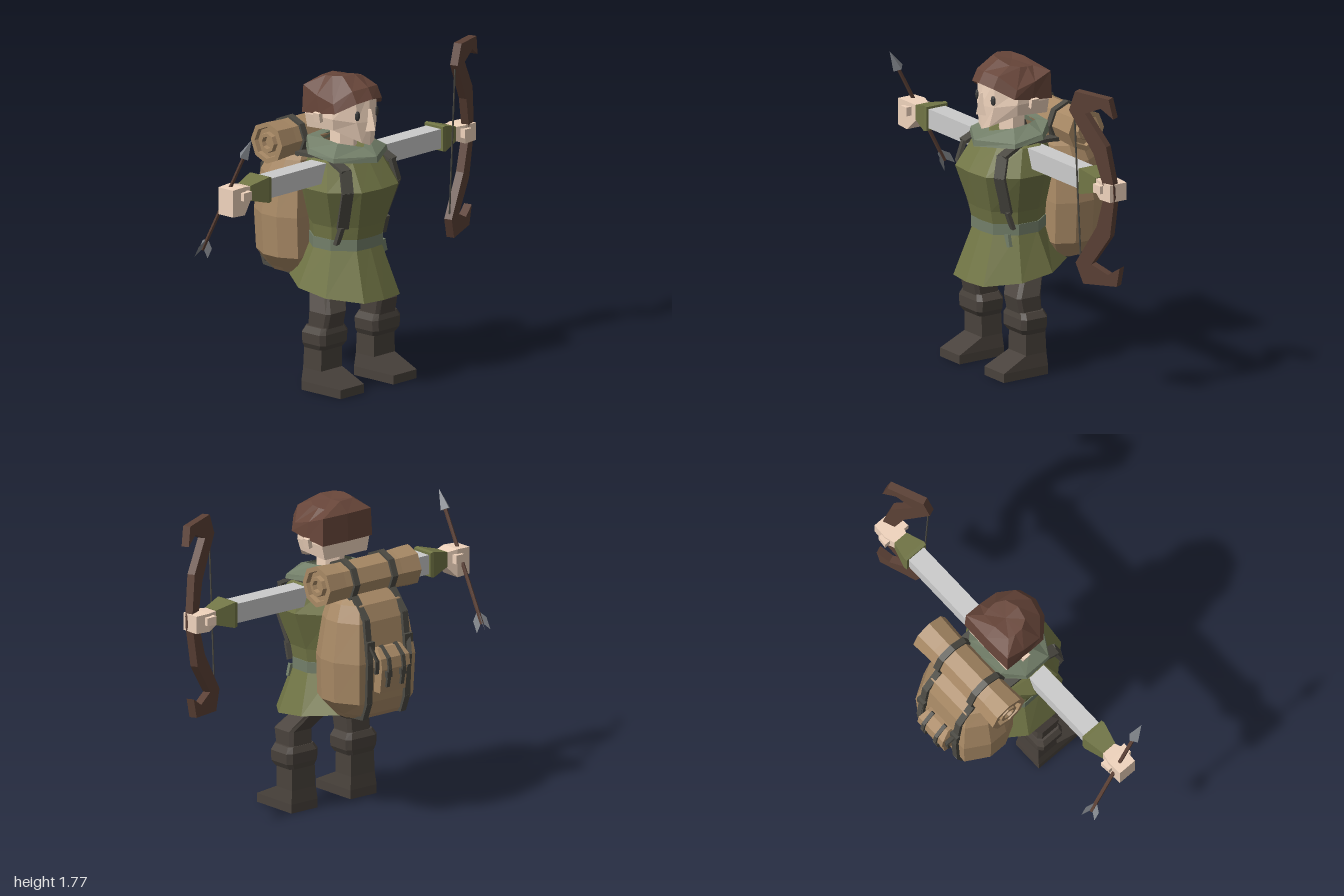
import * as THREE from 'three';

const mat = (color, side = THREE.FrontSide) =>
  new THREE.MeshStandardMaterial({ color, flatShading: true, side });
const GREY = mat(0xcccccc), GREEN = mat(0x727646), TRIM = mat(0x737f69, THREE.DoubleSide), SKIN = mat(0xf0d4bd),
  HAIR = mat(0x68463a), LEATHER = mat(0x49423c), PACK = mat(0xa88965), STRAP = mat(0x4c4a43),
  WOOD = mat(0x5c4136), METAL = mat(0x80848a, THREE.DoubleSide), EYE = mat(0x3c3c3c);

// Full loop from its +x half, listed front to back
const mirror = (half) => [...half, ...half.filter((p) => p[0] > 0).reverse().map(([x, ...r]) => [-x, ...r])];
const BOX = mirror([[0.75, 1], [1, 0.75], [1, -0.75], [0.75, -1]]);
const SQUARE = mirror([[1, 1], [1, -1]]);
const BODY = mirror([[0, 1], [0.52, 0.94], [0.98, 0.35], [1, -0.35], [0.55, -1]]);
const BAG = mirror([[0.8, 1], [1, 0.4], [1, -0.25], [0.72, -1]]);

// Horizontal ring: profile scaled to centre and half sizes, tilted along z
const ring = (profile, y, cx, hx, z0, z1, tilt = 0) =>
  profile.map(([x, z]) => [cx + x * hx, y + z * tilt, (z0 + z1) / 2 + (z * (z1 - z0)) / 2]);

// Skin between rings, bottom to top
function loft(rings, caps = true) {
  const pos = [], n = rings[0].length;
  for (let k = 0; k + 1 < rings.length; k++) {
    for (let i = 0; i < n; i++) {
      const j = (i + 1) % n, a = rings[k], b = rings[k + 1];
      pos.push(...a[i], ...a[j], ...b[j], ...a[i], ...b[j], ...b[i]);
    }
  }
  if (caps) {
    for (const [r, flip] of [[rings[0], true], [rings.at(-1), false]]) {
      const c = [0, 1, 2].map((k) => r.reduce((s, p) => s + p[k], 0) / n);
      for (let i = 0; i < n; i++) {
        const a = r[i], b = r[(i + 1) % n];
        pos.push(...c, ...(flip ? b : a), ...(flip ? a : b));
      }
    }
  }
  const g = new THREE.BufferGeometry();
  g.setAttribute('position', new THREE.Float32BufferAttribute(pos, 3));
  g.computeVertexNormals();
  return g;
}

function add(parent, name, geometry, material, x = 0, y = 0, z = 0) {
  const m = new THREE.Mesh(geometry, material);
  m.name = name;
  m.position.set(x, y, z);
  parent.add(m);
  return m;
}
const box = (parent, name, material, w, h, d, x, y, z) =>
  add(parent, name, new THREE.BoxGeometry(w, h, d), material, x, y, z);

// Flat strap following [x, y, z] points
function strap(parent, name, points, width, thick = 0.02) {
  for (let i = 0; i + 1 < points.length; i++) {
    const a = new THREE.Vector3(...points[i]), b = new THREE.Vector3(...points[i + 1]);
    const m = new THREE.Mesh(new THREE.BoxGeometry(width, thick, a.distanceTo(b) + thick * 0.5), STRAP);
    m.name = name;
    m.position.copy(a).lerp(b, 0.5);
    m.lookAt(b);
    parent.add(m);
  }
}

function buildHead(g) {
  add(g, 'neck', new THREE.CylinderGeometry(0.075, 0.08, 0.22, 6), SKIN, 0, 1.36, 0.13);
  add(g, 'head', loft([
    mirror([[0, 1.365, 0.33], [0.05, 1.385, 0.315], [0.155, 1.455, 0.2], [0.15, 1.44, 0], [0, 1.44, 0]]),
    mirror([[0, 1.5, 0.335], [0.08, 1.5, 0.305], [0.17, 1.52, 0.21], [0.168, 1.52, 0], [0, 1.52, 0]]),
    mirror([[0, 1.66, 0.32], [0.08, 1.65, 0.3], [0.165, 1.6, 0.2], [0.16, 1.62, 0.01], [0, 1.62, 0.01]]),
  ]), SKIN);
  add(g, 'nose', loft([
    mirror([[0, 1.455, 0.37], [0.035, 1.445, 0.315], [0, 1.445, 0.3]]),
    mirror([[0, 1.57, 0.34], [0.012, 1.57, 0.32], [0, 1.57, 0.3]]),
  ]), SKIN);
  const hair = loft([
    mirror([[0, 1.63, 0.35], [0.1, 1.615, 0.325], [0.185, 1.56, 0.24], [0.182, 1.54, 0.12], [0.175, 1.525, -0.015], [0, 1.525, -0.02]]),
    mirror([[0, 1.69, 0.315], [0.1, 1.68, 0.29], [0.178, 1.61, 0.22], [0.18, 1.64, 0.1], [0.17, 1.68, -0.01], [0, 1.68, -0.015]]),
    mirror([[0, 1.745, 0.22], [0.08, 1.735, 0.2], [0.11, 1.73, 0.15], [0.11, 1.725, 0.1], [0.1, 1.72, 0.06], [0, 1.735, 0.05]]),
  ]);
  // Crown leans to one side
  const p = hair.attributes.position;
  for (let i = 0; i < p.count; i++) if (p.getY(i) > 1.7) p.setY(i, p.getY(i) - 0.15 * p.getX(i));
  add(g, 'hair', hair, HAIR);
  for (const s of [-1, 1]) {
    const eye = add(g, 'eye', new THREE.SphereGeometry(1, 8, 6), EYE, s * 0.077, 1.54, 0.308);
    eye.scale.set(0.016, 0.028, 0.01);
    eye.rotation.y = s * 0.4;
    box(g, 'ear', SKIN, 0.03, 0.055, 0.045, s * 0.178, 1.52, 0.11).rotation.z = -s * 0.2;
  }
}

function buildBody(g) {
  add(g, 'tunic', loft([
    ring(BODY, 0.8, 0, 0.19, -0.02, 0.33), ring(BODY, 0.92, 0, 0.205, -0.03, 0.355),
    ring(BODY, 1.135, 0, 0.28, -0.055, 0.42), ring(BODY, 1.285, 0, 0.225, -0.01, 0.32),
    ring(BODY, 1.33, 0, 0.12, 0.04, 0.24),
  ]), GREEN);
  const skirt = loft([ring(BODY, 0.548, 0, 0.275, -0.135, 0.437, -0.038), ring(BODY, 0.8, 0, 0.19, -0.02, 0.33)], false);
  add(g, 'skirt', skirt, GREEN);
  add(g, 'skirtLining', skirt, mat(0xcccccc, THREE.BackSide));
  add(g, 'belt', loft([ring(BODY, 0.785, 0, 0.2, -0.03, 0.34), ring(BODY, 0.848, 0, 0.2, -0.03, 0.34)]), TRIM);
  box(g, 'beltTail', TRIM, 0.05, 0.07, 0.02, 0.16, 0.755, 0.27).rotation.z = 0.25;
  add(g, 'cowl', loft([
    mirror([[0, 1.275, 0.385], [0.215, 1.29, 0.26], [0.23, 1.315, 0.08], [0.13, 1.33, -0.03], [0, 1.33, -0.04]]),
    mirror([[0, 1.31, 0.38], [0.21, 1.315, 0.255], [0.22, 1.345, 0.08], [0.13, 1.385, -0.02], [0, 1.39, -0.03]]),
    mirror([[0, 1.345, 0.28], [0.12, 1.375, 0.2], [0.12, 1.385, 0.1], [0.08, 1.385, 0.03], [0, 1.385, 0.02]]),
  ], false), TRIM);
  for (const s of [-1, 1]) {
    strap(g, 'shoulderStrap', [[s * 0.165, 1.29, -0.04], [s * 0.175, 1.305, 0.2], [s * 0.185, 1.25, 0.32],
      [s * 0.2, 1.135, 0.35], [s * 0.165, 0.92, 0.28], [s * 0.17, 0.83, 0.25]], 0.065);
    // Legs, bowed outward from the hips
    add(g, 'leg', loft([[0.24, 0.21, 0.08, 0.11, 0.24], [0.45, 0.205, 0.08, 0.125, 0.285],
      [0.58, 0.11, 0.09, 0.045, 0.185], [0.74, 0.08, 0.085, 0.04, 0.2]]
      .map(([y, x, h, a, b]) => ring(BOX, y, s * x, h, a, b))), LEATHER);
    add(g, 'boot', loft([[0, 0.093, 0.1, 0.395], [0.05, 0.093, 0.1, 0.395], [0.125, 0.084, 0.105, 0.24], [0.26, 0.08, 0.11, 0.24]]
      .map(([y, h, a, b]) => ring(SQUARE, y, s * 0.21, h, a, b))), LEATHER);
    add(g, 'bootCuff', loft([[0.245, 0.092, 0.105, 0.255], [0.275, 0.108, 0.1, 0.275], [0.335, 0.112, 0.1, 0.275], [0.37, 0.09, 0.115, 0.265]]
      .map(([y, h, a, b]) => ring(BOX, y, s * 0.21, h, a, b))), LEATHER);
  }
}

// Straight arm along x, lofted upward and then laid sideways
function buildArm(root, s, elbow, wrist, tip, z, drop, hx) {
  const arm = new THREE.Group();
  arm.name = s > 0 ? 'leftArm' : 'rightArm';
  arm.position.set(0, 1.23, z);
  arm.rotation.z = (-s * Math.PI) / 2;
  const part = (name, rows, m) =>
    add(arm, name, loft(rows.map(([d, v, w, c = 0]) => ring(SQUARE, d, s * c, v, -w, w))), m);
  part('sleeve', [[0.1, 0.055, 0.055], [elbow + 0.02, 0.055, 0.055]], GREY);
  part('forearmGuard', [[elbow, 0.068, 0.07], [elbow + 0.02, 0.073, 0.073], [wrist, 0.042, 0.045]], GREEN);
  part('hand', [[wrist - 0.01, 0.038, 0.04], [wrist + 0.06, hx, 0.06, drop], [tip, hx * 0.95, 0.055, drop]], SKIN);
  part('thumb', [[wrist + 0.03, 0.025, 0.085], [wrist + 0.09, 0.022, 0.08]], SKIN);
  root.add(arm);
}

function buildPack(g) {
  add(g, 'backpack', loft([[0.6, 0.18, -0.3, -0.08], [0.625, 0.2, -0.32, -0.06], [0.7, 0.265, -0.345, -0.01], [0.93, 0.275, -0.355, -0.01],
    [1.15, 0.24, -0.325, -0.03], [1.24, 0.2, -0.29, -0.04], [1.29, 0.14, -0.22, -0.07]]
    .map(([y, h, a, b]) => ring(BAG, y, 0, h, a, b))), PACK);
  add(g, 'packPocket', loft([ring(SQUARE, 0.76, 0, 0.09, -0.4, -0.3), ring(SQUARE, 0.93, 0, 0.09, -0.42, -0.3),
    ring(SQUARE, 1, 0, 0.08, -0.37, -0.3)]), PACK);
  add(g, 'pocketFlap', loft([ring(SQUARE, 0.9, 0, 0.1, -0.43, -0.32), ring(SQUARE, 0.96, 0, 0.1, -0.42, -0.32),
    ring(SQUARE, 1.01, 0, 0.085, -0.37, -0.32)]), PACK);
  // Rolled blanket with a spiral-like stepped end
  const profile = [[0, 0.3], [0.03, 0.3], [0.035, 0.325], [0.055, 0.325], [0.06, 0.3], [0.085, 0.3], [0.09, 0.325], [0.118, 0.325], [0.11, 0.2]];
  const points = [...profile.map(([r, h]) => new THREE.Vector2(r, -h)), ...profile.reverse().map(([r, h]) => new THREE.Vector2(r, h))];
  add(g, 'bedroll', new THREE.LatheGeometry(points, 8), PACK, 0, 1.355, -0.14).rotation.z = Math.PI / 2;
  for (const s of [-1, 1]) {
    const x = s * 0.135;
    add(g, 'bedrollStrap', new THREE.CylinderGeometry(0.125, 0.125, 0.038, 8), STRAP, x, 1.355, -0.14).rotation.z = Math.PI / 2;
    strap(g, 'packStrap', [[x, 1.28, -0.24], [x, 1.17, -0.335], [x, 0.93, -0.365], [x, 0.7, -0.355], [x, 0.61, -0.32], [x, 0.595, -0.1]], 0.038);
    box(g, 'packBuckle', STRAP, 0.055, 0.05, 0.025, x, 1.03, -0.365);
    strap(g, 'packStrapTail', [[x, 1.03, -0.37], [x - s * 0.02, 0.95, -0.405], [x - s * 0.02, 0.88, -0.4]], 0.025, 0.012);
    const px = s * 0.05;
    strap(g, 'pocketStrap', [[px, 1.015, -0.36], [px, 0.96, -0.425], [px, 0.9, -0.435], [px, 0.8, -0.415]], 0.022, 0.014);
    box(g, 'pocketBuckle', STRAP, 0.035, 0.035, 0.02, px, 0.87, -0.425);
  }
}

function buildBow(root) {
  const bow = new THREE.Group();
  bow.name = 'bow';
  bow.position.set(0.93, 1.22, 0.15);
  bow.rotation.set(0.05, 0.37, 0);
  const upper = [[-0.03, 0.03], [-0.085, 0.21], [-0.235, 0.44], [-0.19, 0.555], [0.03, 0.54], [0.055, 0.43],
    [-0.025, 0.48], [-0.13, 0.435], [0, 0.26], [0.04, 0.03]];
  const outline = [...upper, ...[...upper].reverse().map(([x, y]) => [x, -y])];
  const shape = new THREE.Shape(outline.map(([x, y]) => new THREE.Vector2(x, y)));
  add(bow, 'bowLimbs', new THREE.ExtrudeGeometry(shape, { depth: 0.045, bevelEnabled: false }), WOOD, 0, 0, -0.0225);
  add(bow, 'bowString', new THREE.CylinderGeometry(0.005, 0.005, 0.9, 5), STRAP, -0.215, 0, 0);
  root.add(bow);
}

function buildArrow(root) {
  const arrow = new THREE.Group();
  arrow.name = 'arrow';
  arrow.position.set(-0.95, 1.21, 0.11);
  arrow.rotation.x = 0.49;
  add(arrow, 'arrowShaft', new THREE.CylinderGeometry(0.011, 0.011, 0.72, 6), WOOD, 0, -0.01, 0);
  add(arrow, 'arrowHead', new THREE.ConeGeometry(0.034, 0.12, 4), METAL, 0, 0.35, 0);
  const vane = new THREE.Shape([[0, -0.29], [0, -0.36], [0.045, -0.41], [0.045, -0.34]].map((p) => new THREE.Vector2(...p)));
  for (let i = 0; i < 3; i++) {
    add(arrow, 'arrowVane', new THREE.ShapeGeometry(vane), METAL).rotation.y = Math.PI + (i * Math.PI * 2) / 3;
  }
  root.add(arrow);
}

export function createModel() {
  const root = new THREE.Group();
  root.name = 'archer';
  const body = new THREE.Group();
  body.name = 'figure';
  body.position.x = -0.035;
  root.add(body);
  buildHead(body);
  buildBody(body);
  buildPack(body);
  buildArm(root, 1, 0.69, 0.82, 0.97, 0.125, 0.012, 0.052);
  buildArm(root, -1, 0.71, 0.85, 1, 0.155, -0.03 * -1, 0.08);
  buildBow(root);
  buildArrow(root);
  return root;
}
